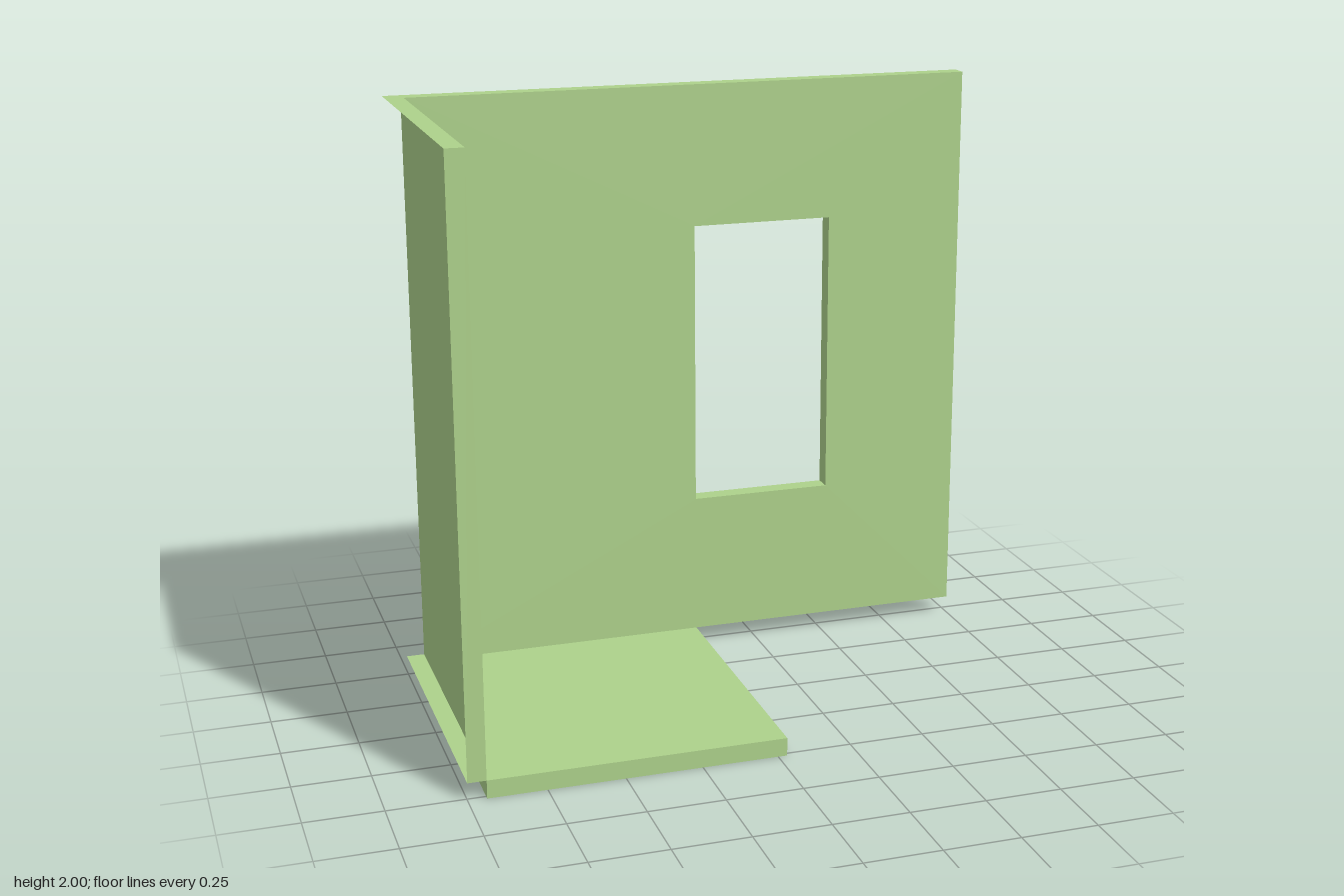
import * as THREE from 'three';

const material = new THREE.MeshStandardMaterial({ color: 0xadd18b, side: THREE.DoubleSide, flatShading: true });

// Main levels: wall outer faces, inner faces, floor extent
const OUT_X = -1, IN_X = -0.94, OUT_Z = -0.515, IN_Z = -0.455, FRONT = 0.515, END = 1;
const BASE = 0.06, TOP = 2;
const MID = 0.03, JAMB = 0.515, STUD = -0.455;
const SILL = 0.545, HEAD = 1.52, LINTEL = 1.64;

function add(group, name, geometry) {
  const mesh = new THREE.Mesh(geometry, material);
  mesh.name = name;
  group.add(mesh);
  return mesh;
}

// Thin sheets, each perpendicular to one axis
function sheetX(group, name, x, y0, y1, z0, z1) {
  const g = new THREE.PlaneGeometry(z1 - z0, y1 - y0).rotateY(Math.PI / 2);
  add(group, name, g.translate(x, (y0 + y1) / 2, (z0 + z1) / 2));
}
function sheetY(group, name, y, x0, x1, z0, z1) {
  const g = new THREE.PlaneGeometry(x1 - x0, z1 - z0).rotateX(-Math.PI / 2);
  add(group, name, g.translate((x0 + x1) / 2, y, (z0 + z1) / 2));
}
function sheetZ(group, name, z, x0, x1, y0, y1) {
  const g = new THREE.PlaneGeometry(x1 - x0, y1 - y0);
  add(group, name, g.translate((x0 + x1) / 2, (y0 + y1) / 2, z));
}

function rectangle(Type, x0, x1, y0, y1) {
  return new Type([[x0, y0], [x1, y0], [x1, y1], [x0, y1]].map(p => new THREE.Vector2(...p)));
}

// Wall with a window, open at the back with thin ribs
function createBackWall() {
  const wall = new THREE.Group();
  wall.name = 'backWall';
  const face = rectangle(THREE.Shape, IN_X, END, BASE, TOP);
  face.holes.push(rectangle(THREE.Path, MID, JAMB, SILL, HEAD));
  add(wall, 'backWallPanel', new THREE.ShapeGeometry(face).translate(0, 0, IN_Z));

  for (const [name, x, top] of [
    ['endRib', END, TOP], ['jambRib', JAMB, LINTEL], ['middleRib', MID, TOP],
    ['studRib', STUD, LINTEL], ['cornerRib', IN_X, TOP],
  ]) sheetX(wall, name, x, BASE, top, OUT_Z, IN_Z);

  for (const [name, y] of [['windowSill', SILL], ['windowHead', HEAD], ['lintelRib', LINTEL]])
    sheetY(wall, name, y, STUD, JAMB, OUT_Z, IN_Z);

  for (const [name, y] of [['backWallBottom', BASE], ['backWallTop', TOP]])
    sheetY(wall, name, y, OUT_X, END, OUT_Z, IN_Z);
  return wall;
}

// Side wall, open on its outer face
function createSideWall() {
  const wall = new THREE.Group();
  wall.name = 'sideWall';
  sheetX(wall, 'sideWallPanel', IN_X, BASE, TOP, IN_Z, FRONT);
  sheetZ(wall, 'sideWallEnd', FRONT, OUT_X, IN_X, BASE, TOP);
  for (const [name, y] of [['sideWallBottom', BASE], ['sideWallTop', TOP]])
    sheetY(wall, name, y, OUT_X, IN_X, IN_Z, FRONT);
  return wall;
}

// Floor slab, hollow underneath
function createFloor() {
  const floor = new THREE.Group();
  floor.name = 'floor';
  sheetY(floor, 'floorPanel', BASE, IN_X, MID, IN_Z, FRONT);
  for (const x of [IN_X, MID]) sheetX(floor, 'floorSideEdge', x, 0, BASE, IN_Z, FRONT);
  for (const z of [IN_Z, FRONT]) sheetZ(floor, 'floorCrossEdge', z, IN_X, MID, 0, BASE);
  return floor;
}

export function createModel() {
  const model = new THREE.Group();
  model.name = 'roomCorner';
  model.add(createBackWall(), createSideWall(), createFloor());
  return model;
}
